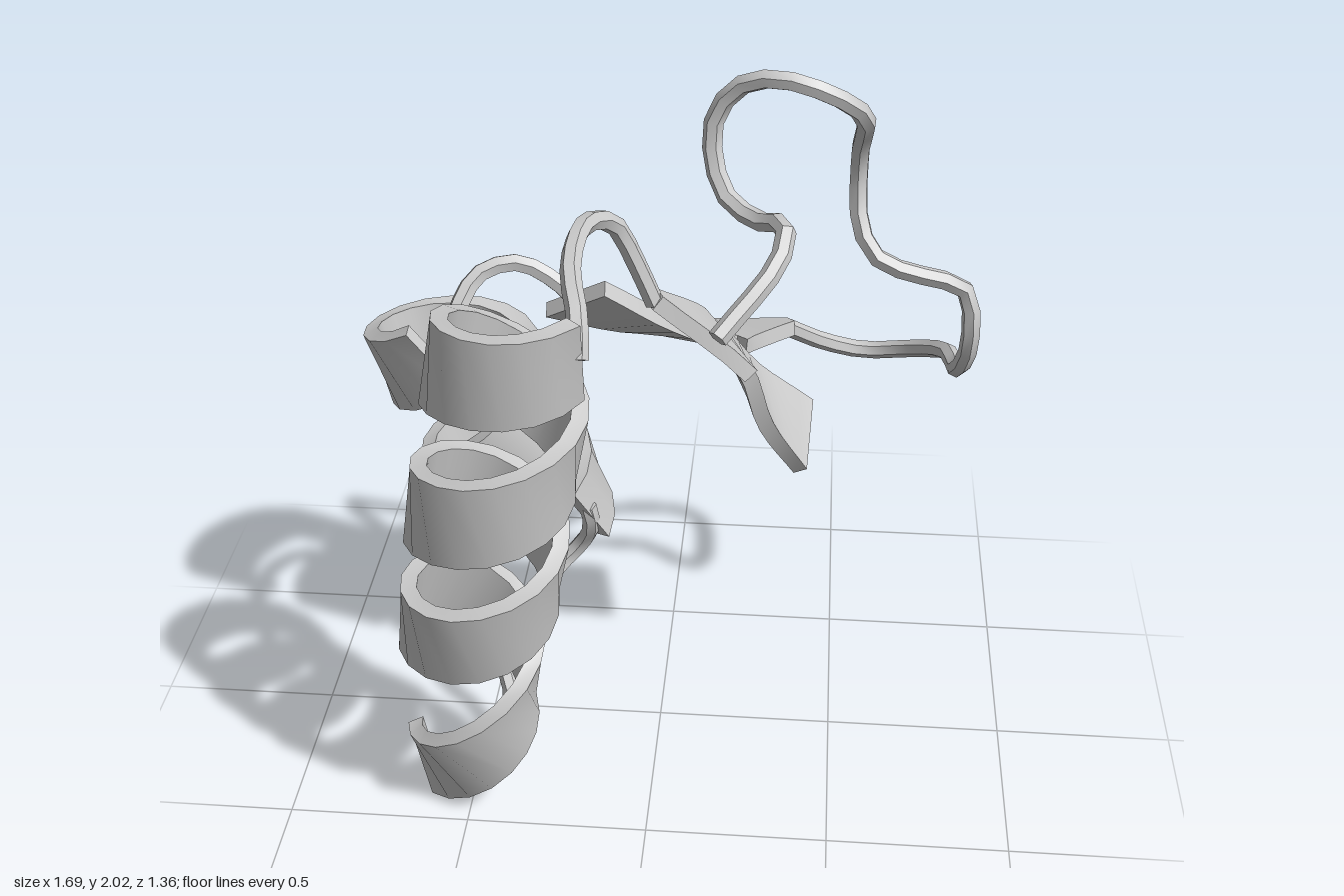
import * as THREE from 'three';
import { toCreasedNormals } from 'three/addons/utils/BufferGeometryUtils.js';

const V = (a) => new THREE.Vector3(...a);
const spline = (pts) => new THREE.CatmullRomCurve3(pts.map(V), false, 'centripetal');
const material = new THREE.MeshStandardMaterial({ color: 0xcccccc });

// Skin a list of rings (counter-clockwise about the path) and close both ends
function loft(name, rings, crease) {
  const n = rings[0].length, pos = [], index = [];
  rings.forEach((ring) => ring.forEach((p) => pos.push(p.x, p.y, p.z)));
  for (let r = 0; r < rings.length - 1; r++) {
    for (let i = 0; i < n; i++) {
      const a = r * n + i, b = r * n + (i + 1) % n;
      index.push(a, b, b + n, a, b + n, a + n);
    }
  }
  const last = (rings.length - 1) * n;
  for (let i = 1; i < n - 1; i++) {
    index.push(0, i + 1, i, last, last + i, last + i + 1);
  }
  const geometry = new THREE.BufferGeometry();
  geometry.setAttribute('position', new THREE.Float32BufferAttribute(pos, 3));
  geometry.setIndex(index);
  const mesh = new THREE.Mesh(toCreasedNormals(geometry, crease), material);
  mesh.name = name;
  return mesh;
}

// Rectangular ribbon section: half width along w, half thickness across it
function section(p, tangent, w, halfWidth, halfThick = 0.022) {
  const side = w.clone().addScaledVector(tangent, -w.dot(tangent)).normalize();
  const up = tangent.clone().cross(side);
  return [[1, 1], [-1, 1], [-1, -1], [1, -1]].map(([s, t]) =>
    p.clone().addScaledVector(side, s * halfWidth).addScaledVector(up, t * halfThick));
}

// Thin six-sided cord along a spline
function cord(name, pts) {
  const curve = spline(pts), steps = (pts.length - 1) * 2;
  const { normals, binormals } = curve.computeFrenetFrames(steps);
  const rings = normals.map((nrm, k) => {
    const p = curve.getPointAt(k / steps);
    return Array.from({ length: 6 }, (_, i) => {
      const a = (i * Math.PI) / 3;
      return p.clone().addScaledVector(nrm, 0.026 * Math.cos(a))
        .addScaledVector(binormals[k], 0.026 * Math.sin(a));
    });
  });
  return loft(name, rings, 0.6);
}

// Flat band wound counter-clockwise and upward; axis points are equal turns apart,
// and the radius opens from startRadius to radius around the first quarter
function helix(name, axisPts, startRadius, radius, startDeg, endDeg) {
  const axis = new THREE.CatmullRomCurve3(axisPts.map(V), false, 'catmullrom', 0.5);
  const radial = (t) => {
    const u = axis.getTangent(t);
    const e1 = new THREE.Vector3(1, 0, 0).addScaledVector(u, -u.x).normalize();
    const e2 = u.clone().cross(e1);
    const a = THREE.MathUtils.degToRad(startDeg + (endDeg - startDeg) * t);
    return e1.multiplyScalar(Math.cos(a)).addScaledVector(e2, Math.sin(a));
  };
  const point = (t) => axis.getPoint(t).addScaledVector(radial(t),
    THREE.MathUtils.lerp(startRadius, radius, THREE.MathUtils.smoothstep(t, 0.06, 0.24)));
  const steps = Math.round((endDeg - startDeg) / 20);
  const rings = [];
  for (let k = 0; k <= steps; k++) {
    const t = k / steps;
    const tangent = point(Math.min(1, t + 0.004)).sub(point(Math.max(0, t - 0.004))).normalize();
    rings.push(section(point(t), tangent, tangent.clone().cross(radial(t)), 0.117));
  }
  return loft(name, rings, 1.1);
}

// Twisted flat arrow: tail, middle, head base, tip; width turns from wTail to wHead
function arrow(name, pts, wTail, wHead) {
  const curve = spline(pts), rings = [], base = 2 / 3, body = 8, head = 4;
  const add = (t, half) => {
    const w = V(wTail).normalize().lerp(V(wHead).normalize(), Math.min(1, t / base));
    rings.push(section(curve.getPoint(t), curve.getTangent(t), w, half));
  };
  for (let k = 0; k <= body; k++) add((base * k) / body, 0.117);
  for (let k = 0; k <= head; k++) {
    add(base + ((1 - base) * k) / head, THREE.MathUtils.lerp(0.172, 0.025, k / head));
  }
  return loft(name, rings, 0.6);
}

export function createModel() {
  const group = new THREE.Group();
  group.name = 'ribbonModel';

  // Flat arrows
  group.add(arrow('frontArrow',
    [[0.39, 0.875, -0.17], [0.265, 1.04, -0.1], [0.17, 1.24, -0.03], [-0.01, 1.41, 0.05]],
    [-0.03, -0.07, 0.22], [0.15, -0.01, 0.3]));
  group.add(arrow('backArrow',
    [[-0.245, 1.29, -0.155], [-0.06, 1.14, -0.3], [0.125, 1.04, -0.435], [0.34, 1.02, -0.54]],
    [0.17, 0.14, 0.11], [0.15, 0.1, 0.31]));

  // Coiled bands
  group.add(helix('longHelix',
    [[-0.49, 0.12, 0.295], [-0.5, 0.365, 0.36], [-0.455, 0.585, 0.395], [-0.435, 0.745, 0.425],
      [-0.41, 0.91, 0.445], [-0.385, 1.07, 0.46], [-0.36, 1.24, 0.465], [-0.325, 1.41, 0.455],
      [-0.305, 1.54, 0.455]], 0.16, 0.188, 209, 1406));
  group.add(helix('shortHelix',
    [[-0.4, 0.535, -0.285], [-0.458, 0.74, -0.25], [-0.54, 0.95, -0.22], [-0.61, 1.215, -0.18]],
    0.2, 0.205, -30, 632));

  // Connecting cords
  group.add(cord('topCord', [
    [-0.01, 1.4, 0.05], [-0.06, 1.52, 0.05], [-0.11, 1.63, 0.07], [-0.16, 1.68, 0.16],
    [-0.18, 1.69, 0.28], [-0.18, 1.66, 0.4], [-0.15, 1.6, 0.52], [-0.145, 1.52, 0.57]]));
  group.add(cord('bottomCord', [
    [-0.62, 0.1, 0.36], [-0.58, 0.06, 0.29], [-0.5, 0.05, 0.24], [-0.43, 0.09, 0.18],
    [-0.43, 0.16, 0.11], [-0.5, 0.24, 0.02], [-0.48, 0.29, -0.06], [-0.38, 0.31, -0.15],
    [-0.31, 0.36, -0.23], [-0.25, 0.43, -0.24], [-0.22, 0.52, -0.2], [-0.23, 0.59, -0.19]]));
  group.add(cord('middleCord', [
    [-0.62, 1.17, 0.02], [-0.58, 1.21, 0.01], [-0.55, 1.3, -0.06], [-0.5, 1.37, -0.13],
    [-0.4, 1.39, -0.165], [-0.3, 1.34, -0.165], [-0.245, 1.29, -0.155]]));
  group.add(cord('longCord', [
    [0.33, 1.02, -0.535], [0.44, 0.93, -0.62], [0.56, 0.89, -0.65], [0.7, 0.94, -0.58],
    [0.79, 1.02, -0.43], [0.81, 1.05, -0.28], [0.83, 1.18, -0.2], [0.81, 1.33, -0.21],
    [0.74, 1.37, -0.2], [0.64, 1.4, -0.18], [0.55, 1.45, -0.18], [0.51, 1.54, -0.22],
    [0.505, 1.65, -0.25], [0.505, 1.74, -0.22], [0.505, 1.87, -0.11], [0.4, 1.95, -0.06],
    [0.28, 1.975, -0.07], [0.19, 1.94, -0.1], [0.13, 1.85, -0.11], [0.13, 1.74, -0.09],
    [0.17, 1.66, -0.04], [0.25, 1.635, 0.03], [0.32, 1.67, 0.13], [0.31, 1.62, 0.22],
    [0.17, 1.48, 0.37]]));
  return group;
}
